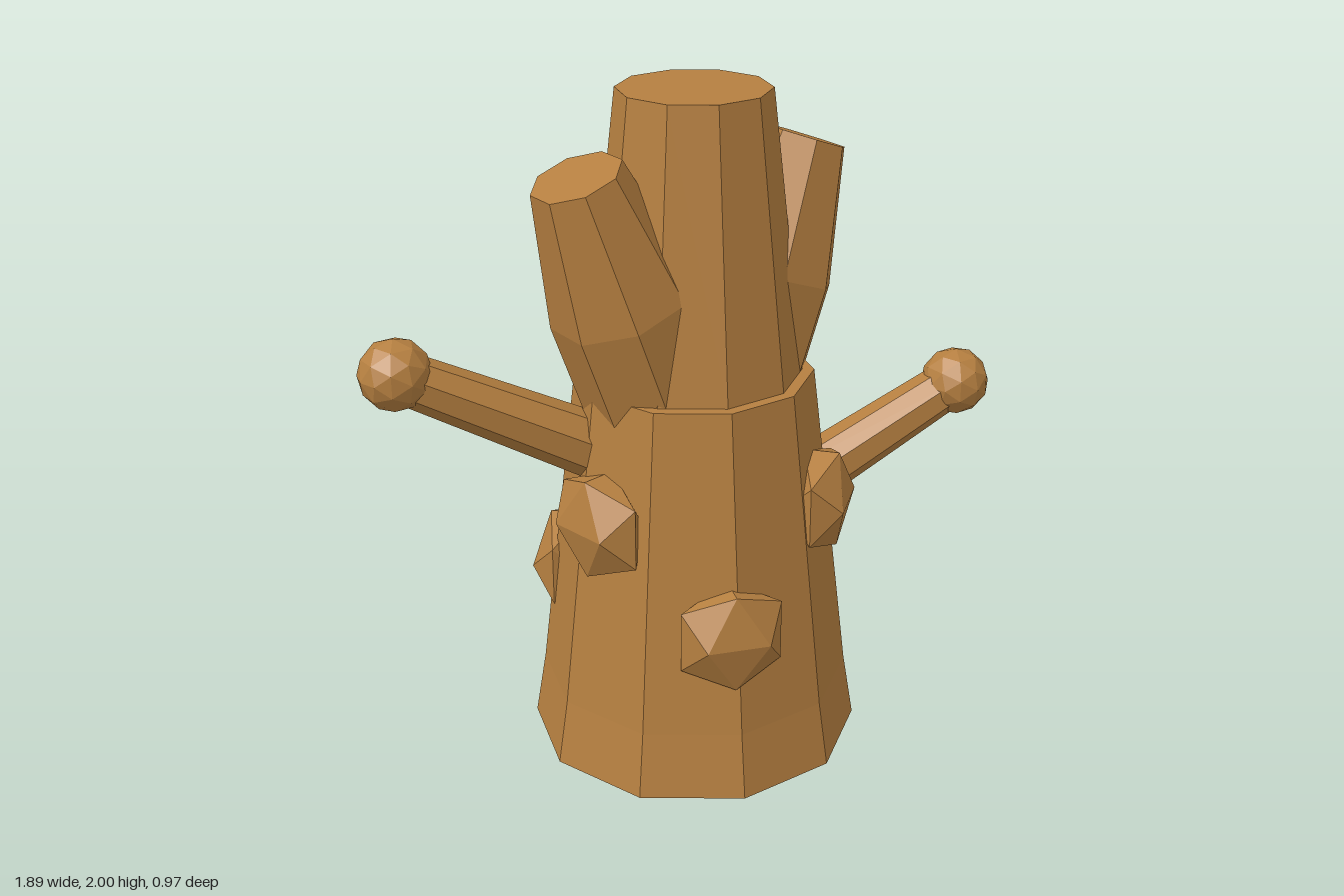
import * as THREE from 'three';

const bark = new THREE.MeshStandardMaterial({ color: 0xb57f40, flatShading: true });
bark.name = 'bark';

const UP = new THREE.Vector3(0, 1, 0);
const CENTRE_Z = -0.01;

function addPart(group, name, geometry) {
  const mesh = new THREE.Mesh(geometry, bark);
  mesh.name = name;
  group.add(mesh);
  return mesh;
}

// Faceted solid of revolution from [radius, height] pairs, bottom to top
function turned(profile, sides, phase) {
  const points = profile.map(([r, y]) => new THREE.Vector2(r, y));
  return new THREE.LatheGeometry(points, sides, phase);
}

export function createModel() {
  const group = new THREE.Group();
  group.name = 'treeTrunk';

  // Trunk with flared foot and a ledge below the narrower top
  addPart(group, 'trunk', turned([
    [0, 0], [0.5, 0], [0.467, 0.2], [0.35, 1.17],
    [0.315, 1.17], [0.22, 2], [0, 2],
  ], 10, Math.PI / 2)).position.z = CENTRE_Z;

  // Two thick sawn-off limbs leaning outward
  for (const side of [1, -1]) {
    const limb = addPart(group, side > 0 ? 'leftLimb' : 'rightLimb', turned([
      [0, -0.78], [0.215, -0.78], [0.215, -0.4], [0.132, 0], [0, 0],
    ], 8, Math.PI / 8));
    limb.position.set(side * 0.385, 1.808, CENTRE_Z);
    limb.rotation.z = -side * 0.355;
  }

  // Thin branches, each ending in a ball
  const branches = [
    ['leftBranch', [0.22, 0.625, -0.03], [0.84, 1.005, 0.205]],
    ['rightBranch', [-0.22, 0.93, -0.05], [-0.845, 1.275, -0.235]],
  ];
  for (const [name, from, to] of branches) {
    const a = new THREE.Vector3(...from);
    const b = new THREE.Vector3(...to);
    const axis = b.clone().sub(a);
    const branch = addPart(group, name, new THREE.CylinderGeometry(0.073, 0.1, axis.length(), 8));
    branch.position.copy(a).lerp(b, 0.5);
    branch.quaternion.setFromUnitVectors(UP, axis.normalize());
    addPart(group, name + 'Ball', new THREE.IcosahedronGeometry(0.105, 1)).position.copy(b);
  }

  // Flattened knots in two staggered rings of three: [height, distance, first angle]
  for (const [y, distance, start] of [[0.5, 0.405, -20], [0.8, 0.385, 40]]) {
    for (let i = 0; i < 3; i++) {
      const angle = THREE.MathUtils.degToRad(start + i * 120);
      const knot = addPart(group, 'knot', new THREE.IcosahedronGeometry(0.176, 0));
      knot.scale.x = 0.57;
      knot.rotation.y = angle - Math.PI / 2;
      knot.position.set(Math.sin(angle) * distance, y, Math.cos(angle) * distance + CENTRE_Z);
    }
  }
  return group;
}
